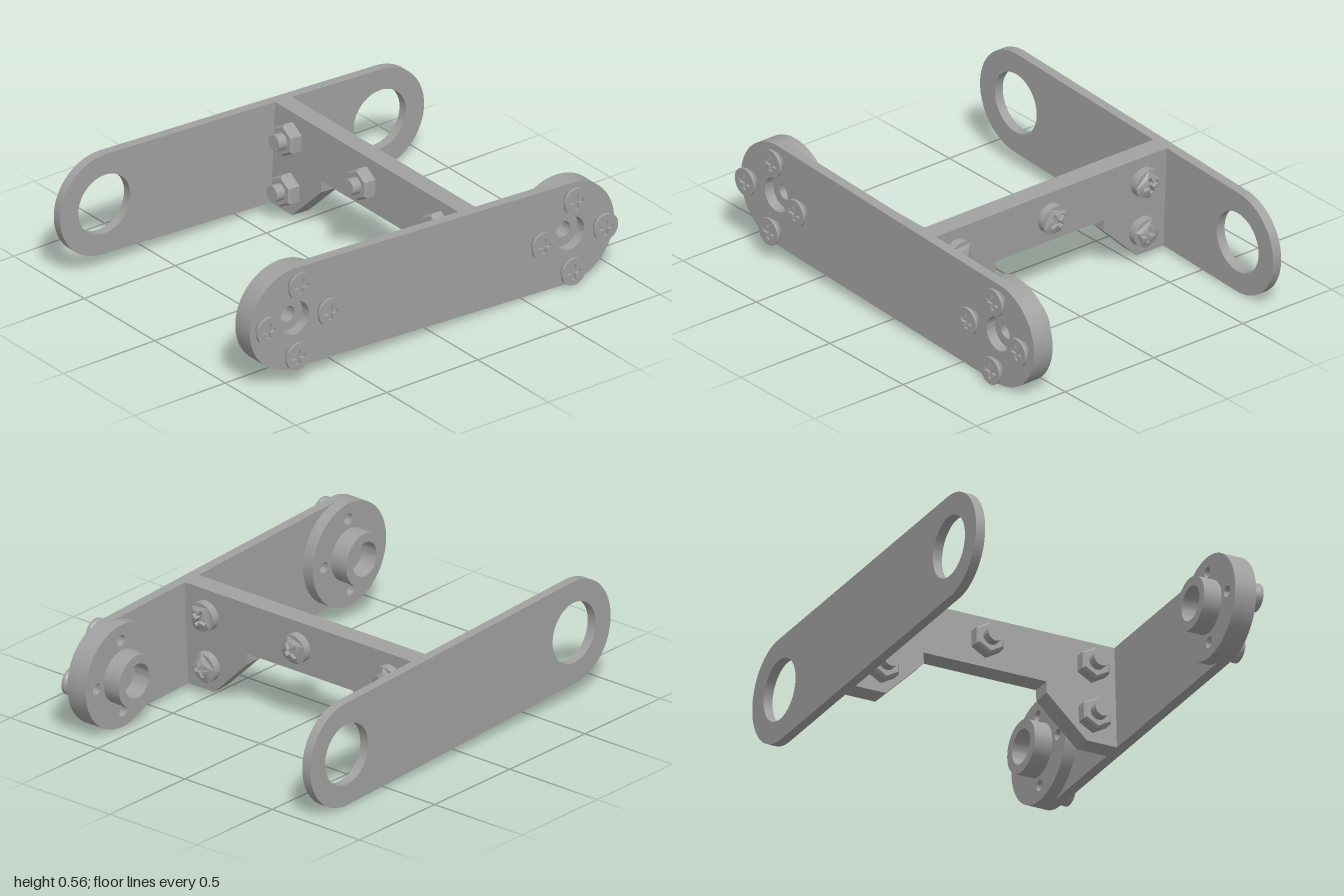
import * as THREE from 'three';
import { toCreasedNormals } from 'three/addons/utils/BufferGeometryUtils.js';

const TILT = 0.046, R = 0.243, ARM = 0.757, WEB_X = 0.216, WEB_T = 0.092;

const circle = (r, x = 0, y = 0) => new THREE.Path().absarc(x, y, r, 0, Math.PI * 2, true);

// Extrude a shape along z from z0 to z1 with crisp edges
function extrude(shape, z0, z1) {
  const g = new THREE.ExtrudeGeometry(shape, { depth: z1 - z0, bevelEnabled: false, curveSegments: 32 });
  g.translate(0, 0, z0);
  return toCreasedNormals(g, 0.5);
}

// Cylinder or cone lying along z
function rod(r0, r1, z0, z1, sides = 32) {
  const g = new THREE.CylinderGeometry(r1, r0, z1 - z0, sides);
  g.rotateX(Math.PI / 2);
  g.translate(0, 0, (z0 + z1) / 2);
  return g;
}

// Stadium-shaped side plate with a round hole at each end
function slotPlate(holeR) {
  const s = new THREE.Shape();
  s.absarc(ARM, 0, R, -Math.PI / 2, Math.PI / 2, false);
  s.absarc(-ARM, 0, R, Math.PI / 2, Math.PI * 1.5, false);
  s.closePath();
  s.holes.push(circle(holeR, ARM), circle(holeR, -ARM));
  return s;
}

// Screw crown with a cross recess, domed by lowering its rim
function crossCrown(r, z0, z1, drop, a, w) {
  const s = new THREE.Shape().absarc(0, 0, r, 0, Math.PI * 2, false);
  const p = [[a, -w], [a, w], [w, w], [w, a], [-w, a], [-w, w], [-a, w], [-a, -w], [-w, -w], [-w, -a], [w, -a], [w, -w]];
  s.holes.push(new THREE.Path(p.reverse().map(([x, y]) => new THREE.Vector2(x, y))));
  const g = extrude(s, z0, z1), pos = g.attributes.position;
  for (let i = 0; i < pos.count; i++) {
    const x = pos.getX(i), y = pos.getY(i);
    if (pos.getZ(i) > (z0 + z1) / 2) pos.setZ(i, z1 - drop * (x * x + y * y) / (r * r));
  }
  return toCreasedNormals(g, 0.5);
}

export function createModel() {
  const model = new THREE.Group();
  model.name = 'bracket';
  const grey = new THREE.MeshStandardMaterial({ color: 0xa0a0a0 });
  grey.name = 'metalGrey';

  const body = new THREE.Group();
  body.name = 'tiltedBody';
  body.position.y = 0.278;
  body.rotation.z = -TILT;
  model.add(body);

  const add = (parent, name, geo) => {
    const m = new THREE.Mesh(geo, grey);
    m.name = name;
    parent.add(m);
    return m;
  };
  const group = (parent, name, x, y, z) => {
    const g = new THREE.Group();
    g.name = name;
    g.position.set(x, y, z);
    parent.add(g);
    return g;
  };

  // Side plates
  add(body, 'frontPlate', extrude(slotPlate(0.08), 0.627, 0.675));
  add(body, 'backPlate', extrude(slotPlate(0.143), -0.717, -0.672));

  // Connecting web with a cut-away underside
  const half = [[0.65, R], [0.65, -R], [0.5, -R], [0.305, -0.053], [0.305, 0]];
  const outline = [...half, ...half.map(([u, y]) => [-u, y]).reverse()];
  const webShape = new THREE.Shape(outline.map(([u, y]) => new THREE.Vector2(u, y)));
  const web = add(body, 'web', extrude(webShape, -WEB_T / 2, WEB_T / 2));
  web.rotation.y = Math.PI / 2;
  web.position.set(WEB_X, 0, -0.0225);

  // Round hubs with countersunk screws at both ends of the front plate
  const flangeShape = new THREE.Shape().absarc(0, 0, R, 0, Math.PI * 2, false);
  flangeShape.holes.push(circle(0.038));
  for (let i = 0; i < 4; i++) {
    const a = i * Math.PI / 2;
    flangeShape.holes.push(circle(0.026, 0.17 * Math.cos(a), 0.17 * Math.sin(a)));
  }
  const collarShape = new THREE.Shape().absarc(0, 0, 0.123, 0, Math.PI * 2, false);
  collarShape.holes.push(circle(0.08));
  const flangeGeo = extrude(flangeShape, 0.57, 0.627);
  const collarGeo = extrude(collarShape, 0.483, 0.57);
  const flatParts = {
    screwShaft: rod(0.026, 0.026, 0.605, 0.68, 24),
    screwCone: rod(0.04, 0.064, 0.672, 0.704),
    screwCrown: crossCrown(0.064, 0.704, 0.717, 0, 0.037, 0.01),
  };
  for (const side of [1, -1]) {
    const hub = group(body, side > 0 ? 'leftHub' : 'rightHub', side * ARM, 0, 0);
    add(hub, 'flange', flangeGeo);
    add(hub, 'collar', collarGeo);
    for (let i = 0; i < 4; i++) {
      const a = i * Math.PI / 2;
      const screw = group(hub, 'flatScrew', 0.17 * Math.cos(a), 0.17 * Math.sin(a), 0);
      for (const [name, geo] of Object.entries(flatParts)) add(screw, name, geo);
    }
  }

  // Pan-head bolts and nuts through the web
  const h = WEB_T / 2;
  const hexGeo = (r0, r1, z0, z1) => toCreasedNormals(rod(r0, r1, z0, z1, 6), 0.3);
  const boltParts = {
    boltHead: rod(0.069, 0.069, h, h + 0.026),
    boltCrown: crossCrown(0.069, h + 0.026, h + 0.06, 0.022, 0.04, 0.01),
    nut: hexGeo(0.077, 0.077, -h - 0.045, -h),
    nutChamfer: hexGeo(0.066, 0.077, -h - 0.055, -h - 0.045),
    boltTip: rod(0.038, 0.038, -h - 0.1, -h, 24),
  };
  const spots = [[0.122, -0.545], [0.122, -0.02], [0.122, 0.507], [-0.123, -0.545], [-0.123, 0.507]];
  spots.forEach(([y, z], i) => {
    const bolt = group(body, 'bolt', WEB_X, y, z);
    bolt.rotation.y = Math.PI / 2;
    for (const [name, geo] of Object.entries(boltParts)) {
      const part = add(bolt, name, geo);
      if (name === 'boltCrown') part.rotation.z = 0.25 + i * 0.4;
    }
  });

  return model;
}
